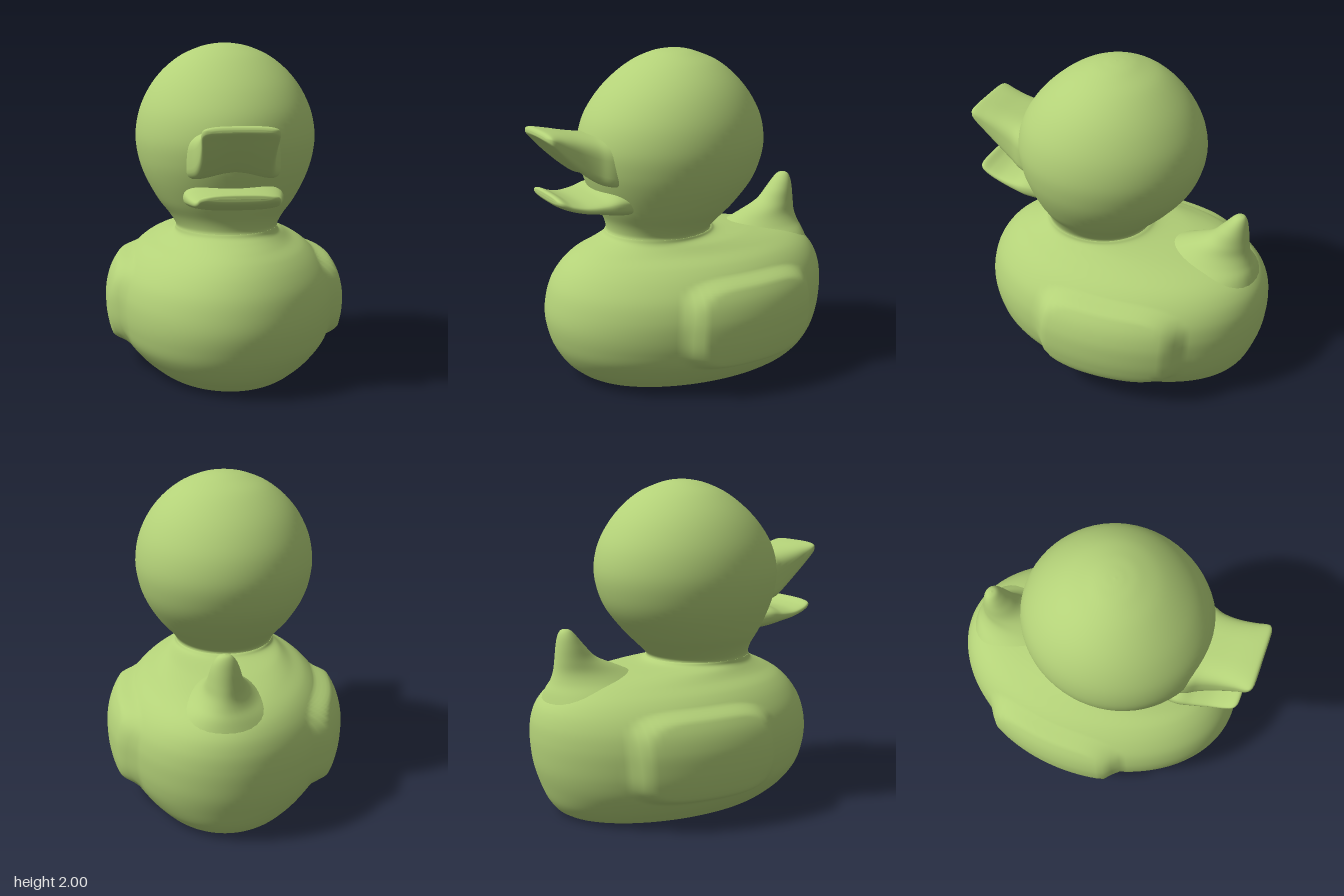
import * as THREE from 'three';

const material = new THREE.MeshStandardMaterial({ color: 0xb3d178 });

// Smoothly samples a table of cross-sections (up to six numbers each).
function sampler(table) {
  const pick = (s, k) => new THREE.Vector3(s[k] ?? 0, s[k + 1] ?? 0, s[k + 2] ?? 0);
  const a = new THREE.CatmullRomCurve3(table.map(s => pick(s, 0)), false, 'catmullrom', 0.5);
  const b = new THREE.CatmullRomCurve3(table.map(s => pick(s, 3)), false, 'catmullrom', 0.5);
  return t => [...a.getPoint(t).toArray(), ...b.getPoint(t).toArray()];
}

// Skins closed rings with smooth sides and flat end caps.
function loft(name, table, ringPoint, rows = 48, cols = 48) {
  const at = sampler(table), pos = [], index = [];
  for (let i = 0; i <= rows; i++) {
    const s = at(i / rows);
    for (let j = 0; j < cols; j++) pos.push(...ringPoint(s, j / cols * Math.PI * 2));
  }
  for (let i = 0; i < rows; i++) for (let j = 0; j < cols; j++) {
    const k = (j + 1) % cols, a = i * cols + j, b = i * cols + k;
    index.push(a, b, a + cols, b, b + cols, a + cols);
  }
  for (const row of [0, rows]) {
    const base = pos.length / 3, c = [0, 0, 0];
    for (let j = 0; j < cols; j++) for (let d = 0; d < 3; d++) {
      const v = pos[(row * cols + j) * 3 + d];
      pos.push(v);
      c[d] += v / cols;
    }
    pos.push(...c);
    for (let j = 0; j < cols; j++) {
      const p = base + j, q = base + (j + 1) % cols;
      index.push(base + cols, ...(row ? [p, q] : [q, p]));
    }
  }
  const geometry = new THREE.BufferGeometry();
  geometry.setAttribute('position', new THREE.Float32BufferAttribute(pos, 3));
  geometry.setIndex(index);
  geometry.computeVertexNormals();
  const mesh = new THREE.Mesh(geometry, material);
  mesh.name = name;
  return mesh;
}

// Level ring from [height, half width, front z, back z].
function levelRing([y, w, front, back], a) {
  return [w * Math.sin(a), y, (front + back) / 2 + (front - back) / 2 * Math.cos(a)];
}

// Body ring with a raised, rounded wing panel on each side.
function bodyRing(s, a) {
  const p = levelRing(s, a);
  const m = Math.abs((p[2] + 0.15) / 0.47) ** 4 + Math.abs((p[1] - 0.43) / 0.28) ** 4;
  p[0] += Math.sign(p[0]) * 0.065 * (1 - THREE.MathUtils.smoothstep(m, 0.45, 1));
  return p;
}

// Upright beak ring from [z, half width, top, bottom]; the underside is hollowed by `hollow`.
const beakRing = (power, hollow) => ([z, w, top, bottom], a) => {
  const bend = v => Math.sign(v) * Math.abs(v) ** power;
  const x = bend(Math.cos(a)), s = bend(Math.sin(a)), h = (top - bottom) / 2;
  const lift = s < 0 ? hollow * h * (1 - x * x) : 0;
  return [w * x, (top + bottom) / 2 + h * s + lift, z];
};

export function createModel() {
  const group = new THREE.Group();
  group.name = 'duck';

  group.add(loft('bodyWithWings', [
    [0, 0.45, 0.66, -0.77], [0.03, 0.49, 0.71, -0.815], [0.1, 0.565, 0.79, -0.865],
    [0.2, 0.64, 0.855, -0.905], [0.3, 0.67, 0.89, -0.935], [0.4, 0.68, 0.905, -0.95],
    [0.5, 0.675, 0.895, -0.955], [0.6, 0.645, 0.865, -0.945], [0.69, 0.585, 0.81, -0.91],
    [0.76, 0.51, 0.74, -0.84], [0.81, 0.42, 0.66, -0.72], [0.85, 0.36, 0.575, -0.48],
    [0.875, 0.32, 0.525, -0.23], [0.9, 0.31, 0.505, -0.165],
  ], bodyRing, 104, 128));

  group.add(loft('head', [
    [0.89, 0.31, 0.507, -0.165], [0.92, 0.312, 0.5, -0.165], [0.98, 0.35, 0.515, -0.225],
    [1.07, 0.42, 0.56, -0.315], [1.2, 0.492, 0.615, -0.42], [1.32, 0.532, 0.65, -0.475],
    [1.45, 0.547, 0.66, -0.498], [1.59, 0.525, 0.625, -0.475], [1.72, 0.468, 0.545, -0.41],
    [1.83, 0.385, 0.44, -0.32], [1.92, 0.275, 0.32, -0.21], [1.975, 0.155, 0.2, -0.085],
    [1.995, 0.065, 0.115, -0.01], [2, 0.002, 0.06, 0.055],
  ], levelRing, 72, 64));

  // Upturned tail flaring into the back
  group.add(loft('tail', [
    [0.68, 0.36, -0.22, -0.9], [0.77, 0.27, -0.24, -0.875], [0.83, 0.19, -0.29, -0.85],
    [0.89, 0.135, -0.41, -0.832], [0.96, 0.105, -0.56, -0.822], [1.04, 0.085, -0.64, -0.813],
    [1.1, 0.063, -0.69, -0.802], [1.135, 0.036, -0.723, -0.785], [1.145, 0.002, -0.754, -0.758],
  ], levelRing, 40, 40));

  group.add(loft('upperBeak', [
    [0.45, 0.29, 1.51, 1.16], [0.58, 0.27, 1.525, 1.18], [0.66, 0.235, 1.535, 1.21],
    [0.75, 0.217, 1.55, 1.285], [0.85, 0.212, 1.57, 1.39], [0.92, 0.214, 1.58, 1.48],
    [0.945, 0.2, 1.577, 1.515], [0.955, 0.17, 1.565, 1.535], [0.957, 0.13, 1.553, 1.548],
  ], beakRing(0.6, 0.55)));

  group.add(loft('lowerBeak', [
    [0.42, 0.27, 1.2, 1.04], [0.55, 0.29, 1.21, 1.055], [0.65, 0.27, 1.18, 1.075],
    [0.75, 0.245, 1.168, 1.092], [0.83, 0.232, 1.182, 1.115], [0.885, 0.22, 1.206, 1.14],
    [0.908, 0.19, 1.203, 1.16], [0.912, 0.14, 1.186, 1.18],
  ], beakRing(0.75, 0)));

  return group;
}
